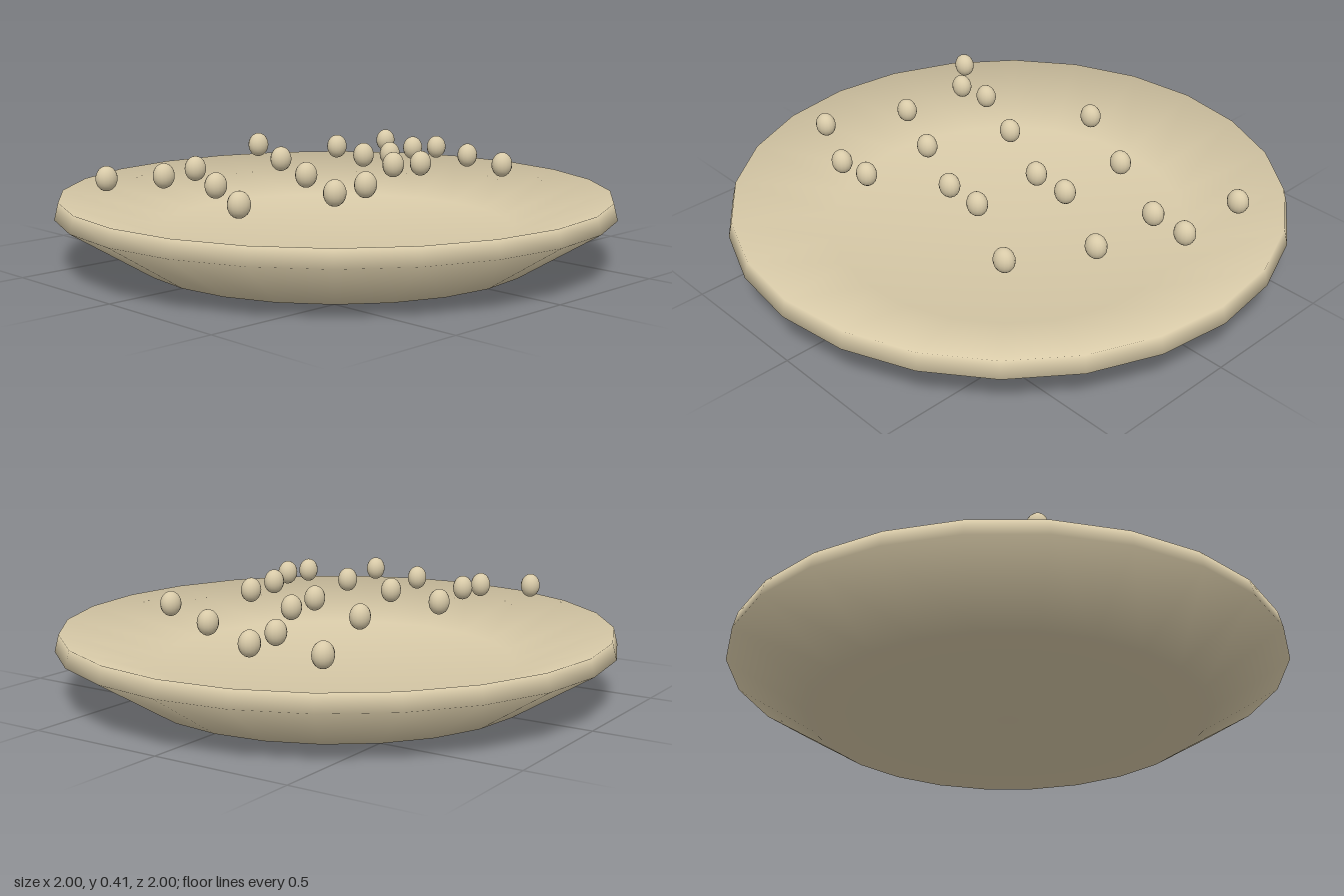
import * as THREE from 'three';

export function createModel() {
  const group = new THREE.Group();
  const cream = new THREE.MeshStandardMaterial({ color: 0xd8caa8 });
  cream.name = 'cream';

  // Shallow dish: base, flared wall, short rim, sloping inside, floor
  const profile = [[0, 0], [0.71, 0], [1, 0.18], [0.985, 0.24], [0.64, 0.115], [0, 0.115]]
    .map(([r, y]) => new THREE.Vector2(r, y));
  const sides = 24;
  const dishGeometry = new THREE.LatheGeometry(profile, sides);

  // Smooth the normals evenly across each profile corner
  const edgeNormals = profile.slice(1).map((p, i) =>
    new THREE.Vector2(p.y - profile[i].y, profile[i].x - p.x).normalize());
  const normals = dishGeometry.attributes.normal;
  for (let s = 0; s <= sides; s++) {
    const a = (s / sides) * Math.PI * 2;
    profile.forEach((p, j) => {
      const n = new THREE.Vector2();
      if (j > 0) n.add(edgeNormals[j - 1]);
      if (j < edgeNormals.length) n.add(edgeNormals[j]);
      n.normalize();
      normals.setXYZ(s * profile.length + j, n.x * Math.sin(a), n.y, n.x * Math.cos(a));
    });
  }
  const dish = new THREE.Mesh(dishGeometry, cream);
  dish.name = 'dish';
  group.add(dish);

  // Small beads on a regular grid: z row, then the x columns that are filled
  const step = 0.14;
  const rows = [
    [-3, [-5, 0, 5]],
    [-2, [-4, -3, 2]],
    [-1, [-1, 4, 5]],
    [0, [-4, 1, 2]],
    [1, [-2, 4]],
    [2, [-5, 0, 1]],
    [3, [-3, -2, 3]],
  ];
  const beads = new THREE.Group();
  beads.name = 'beads';
  const beadGeometry = new THREE.SphereGeometry(1, 16, 12);
  for (const [row, columns] of rows) {
    for (const column of columns) {
      const bead = new THREE.Mesh(beadGeometry, cream);
      bead.name = 'bead';
      bead.scale.set(0.04, 0.044, 0.035);
      // Beads hang lower towards the sides
      bead.position.set(column * step, 0.365 - 0.01 * Math.abs(column), row * step);
      beads.add(bead);
    }
  }
  group.add(beads);
  return group;
}
